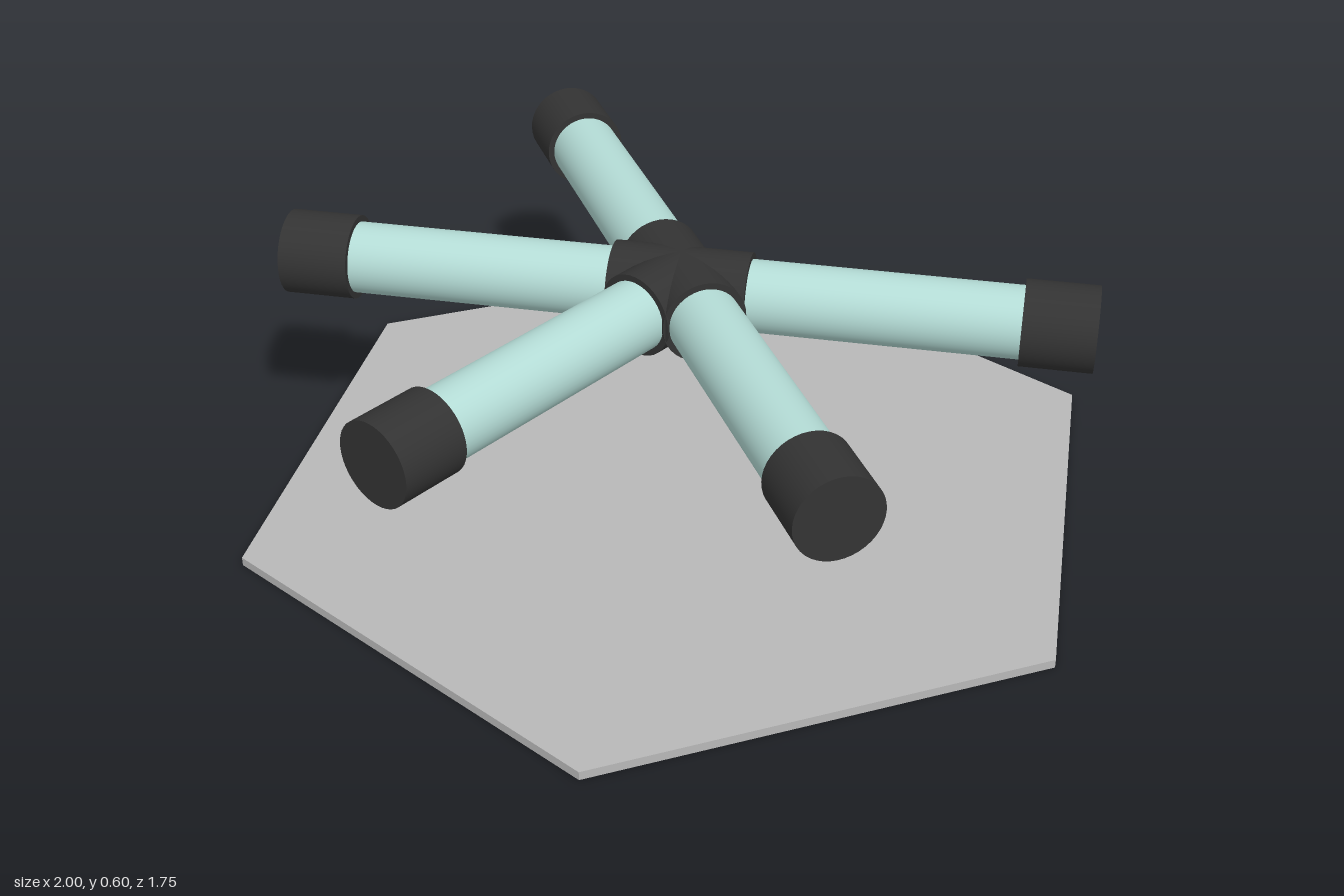
import * as THREE from 'three';

export function createModel() {
  const model = new THREE.Group();
  const mat = (name, color) => {
    const m = new THREE.MeshStandardMaterial({ color });
    m.name = name;
    return m;
  };
  const grey = mat('plateGrey', 0xb8b8b8);
  const teal = mat('paleTeal', 0xb4dcd6);
  const black = mat('charcoal', 0x333333);

  const centreZ = -0.009;
  const armHeight = 0.502;

  // Hexagonal base plate with corners on the x axis
  const hexagon = new THREE.Shape();
  for (let i = 0; i < 6; i++) {
    const a = (i * Math.PI) / 3;
    hexagon[i ? 'lineTo' : 'moveTo'](Math.cos(a), Math.sin(a));
  }
  hexagon.closePath();
  const plateGeometry = new THREE.ExtrudeGeometry(hexagon, { depth: 0.02, bevelEnabled: false });
  plateGeometry.rotateX(-Math.PI / 2);
  const plate = new THREE.Mesh(plateGeometry, grey);
  plate.name = 'basePlate';
  plate.position.z = centreZ;
  model.add(plate);

  // Cylinder lying along +z between two distances from the hub
  const rod = (name, radius, from, to, material) => {
    const g = new THREE.CylinderGeometry(radius, radius, to - from, 40);
    g.rotateX(Math.PI / 2).translate(0, 0, (from + to) / 2);
    const mesh = new THREE.Mesh(g, material);
    mesh.name = name;
    return mesh;
  };

  // Five arms at 60 degree steps, leaving the back direction empty
  const frame = new THREE.Group();
  frame.name = 'armFrame';
  frame.position.set(0, armHeight, centreZ);
  for (let i = -2; i <= 2; i++) {
    const arm = new THREE.Group();
    arm.name = 'arm';
    arm.rotation.y = (i * Math.PI) / 3;
    arm.add(
      rod('hubSocket', 0.093, 0, 0.15, black),
      rod('tube', 0.079, 0.1, 0.8, teal),
      rod('endCap', 0.093, 0.729, 0.884, black)
    );
    frame.add(arm);
  }
  model.add(frame);
  return model;
}
